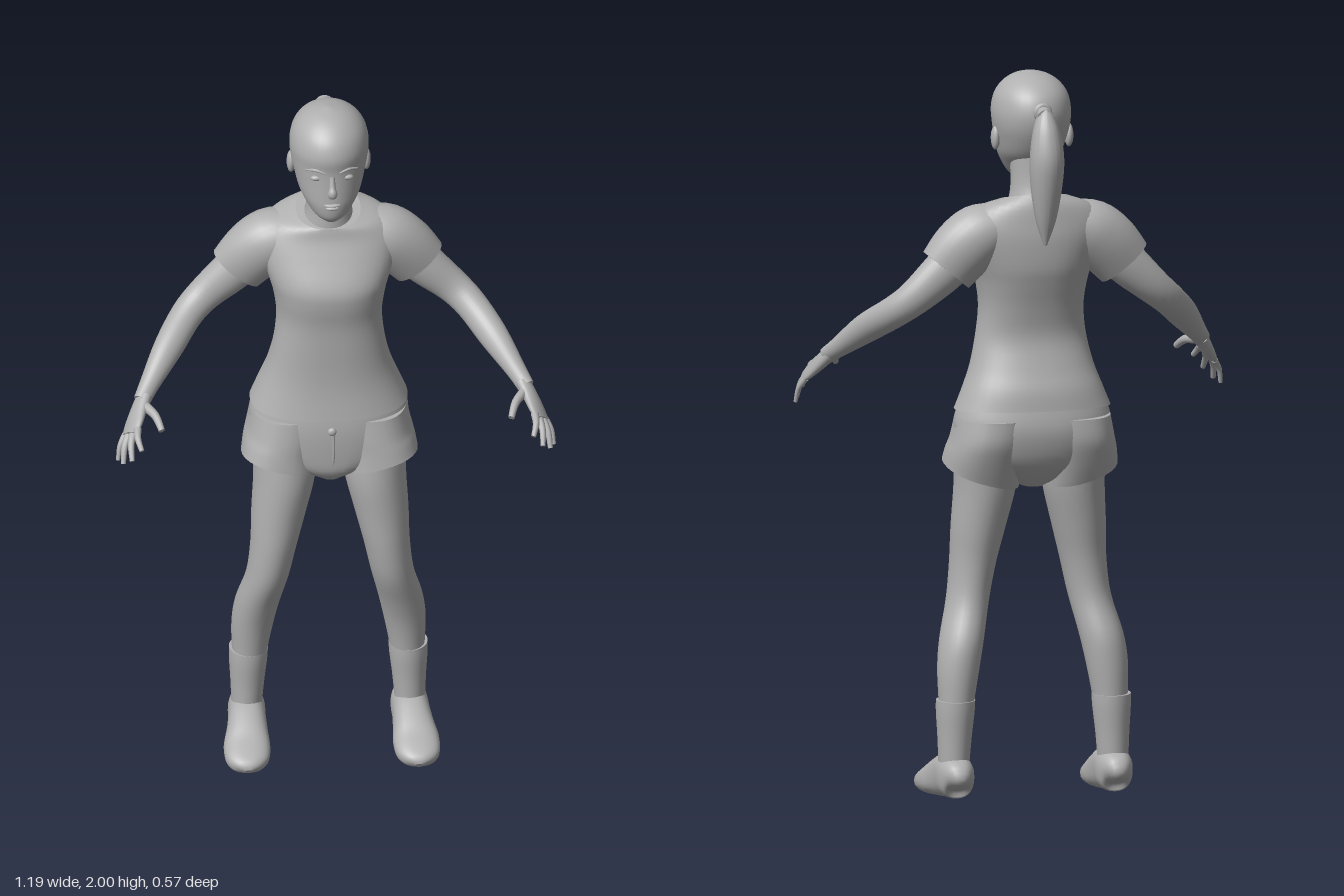
import * as THREE from 'three';

const grey = new THREE.MeshStandardMaterial({ color: 0xb0b0b0 });
grey.name = 'plainGrey';

// Catmull-Rom interpolation of every column of a table of sections
function smooth(rows, steps) {
  const out = [], last = rows.length - 1;
  for (let i = 0; i < last; i++) {
    const a = rows[Math.max(i - 1, 0)], b = rows[i], c = rows[i + 1], d = rows[Math.min(i + 2, last)];
    for (let k = 0; k < steps; k++) {
      const t = k / steps;
      out.push(b.map((v, n) => v + 0.5 * t * (c[n] - a[n]
        + t * (2 * a[n] - 5 * v + 4 * c[n] - d[n] + t * (3 * (v - c[n]) + d[n] - a[n])))));
    }
  }
  out.push(rows[last]);
  return out;
}

// Skin over rings { c, u, v }, with flat end caps; power squares the ring, ridge flutes it
function loft(rings, { sides = 28, power = 2, ridge = 0 } = {}) {
  const pos = [], index = [];
  const bend = t => Math.sign(t) * Math.abs(t) ** (2 / power);
  const addRing = r => {
    for (let j = 0; j < sides; j++) {
      const a = j / sides * Math.PI * 2, m = 1 + ridge * (j % 2 ? 1 : -1);
      const p = r.c.clone().addScaledVector(r.u, bend(Math.cos(a)) * m).addScaledVector(r.v, bend(Math.sin(a)) * m);
      pos.push(p.x, p.y, p.z);
    }
  };
  rings.forEach(addRing);
  for (let i = 0; i < rings.length - 1; i++) {
    for (let j = 0; j < sides; j++) {
      const a = i * sides + j, b = i * sides + (j + 1) % sides;
      index.push(a, b, a + sides, b, b + sides, a + sides);
    }
  }
  [rings[0], rings[rings.length - 1]].forEach((r, end) => {
    const base = pos.length / 3;
    addRing(r);
    pos.push(r.c.x, r.c.y, r.c.z);
    for (let j = 0; j < sides; j++) {
      const a = base + j, b = base + (j + 1) % sides;
      index.push(base + sides, end ? a : b, end ? b : a);
    }
  });
  const g = new THREE.BufferGeometry();
  g.setAttribute('position', new THREE.Float32BufferAttribute(pos, 3));
  g.setIndex(index);
  g.computeVertexNormals();
  return g;
}

// Upright form, bottom to top: [y, centre x, half width, front z, back z, side tilt, back tilt]
const upright = (rows, opts) => loft(
  smooth(rows.map(([y, x, w, f, b, ts = 0, tb = 0]) => [y, x, w, f, b, ts, tb]), 4).map(([y, x, w, f, b, ts, tb]) => ({
    c: new THREE.Vector3(x, y, (f + b) / 2),
    u: new THREE.Vector3(w, ts, 0),
    v: new THREE.Vector3(0, tb, -(f - b) / 2),
  })), opts);

// Limb along a path: [x, y, z, half width along "across", half thickness]
function limb(rows, across, opts) {
  const r = smooth(rows, 4), pts = r.map(q => new THREE.Vector3(q[0], q[1], q[2]));
  return loft(r.map((q, i) => {
    const t = pts[Math.min(i + 1, r.length - 1)].clone().sub(pts[Math.max(i - 1, 0)]).normalize();
    const u = new THREE.Vector3(...across);
    u.addScaledVector(t, -u.dot(t)).normalize();
    const v = t.clone().cross(u);
    return { c: pts[i], u: u.multiplyScalar(q[3]), v: v.multiplyScalar(q[4]) };
  }), opts);
}

const blob = (x, y, z, a, b, c) => new THREE.SphereGeometry(1, 16, 12).scale(a, b, c).translate(x, y, z);

// Copy to the other side of x = 0, keeping the faces outward
function mirror(geometry) {
  const g = geometry.clone().scale(-1, 1, 1), ix = g.index;
  for (let i = 0; i < ix.count; i += 3) {
    const a = ix.getX(i);
    ix.setX(i, ix.getX(i + 2));
    ix.setX(i + 2, a);
  }
  g.computeVertexNormals();
  return g;
}

export function createModel() {
  const model = new THREE.Group();
  model.name = 'girlFigure';
  const add = (name, geometry) => {
    const m = new THREE.Mesh(geometry, grey);
    m.name = name;
    model.add(m);
  };
  const pair = (name, geometry) => {
    add('left' + name, geometry);
    add('right' + name, mirror(geometry));
  };

  // Head and neck
  add('head', upright([
    [1.695, 0, 0.025, 0.055, -0.02], [1.715, 0, 0.05, 0.073, -0.06], [1.75, 0, 0.073, 0.08, -0.1],
    [1.78, 0, 0.087, 0.08, -0.135], [1.82, 0, 0.097, 0.079, -0.16], [1.86, 0, 0.105, 0.079, -0.176],
    [1.9, 0, 0.107, 0.083, -0.18], [1.94, 0, 0.098, 0.07, -0.168], [1.97, 0, 0.077, 0.043, -0.14],
    [1.99, 0, 0.046, 0.008, -0.1], [2, 0, 0.006, -0.036, -0.05]], { sides: 36 }));
  add('neck', upright([
    [1.58, 0, 0.09, 0, -0.17], [1.64, 0, 0.07, 0, -0.155], [1.7, 0, 0.059, 0, -0.135],
    [1.8, 0, 0.062, 0.01, -0.13]]));

  // Face
  add('nose', limb([[0, 1.85, 0.074, 0.007, 0.008], [0, 1.82, 0.082, 0.009, 0.011],
    [0, 1.803, 0.089, 0.013, 0.013], [0, 1.79, 0.08, 0.01, 0.008]], [1, 0, 0], { sides: 14 }));
  add('upperLip', blob(0, 1.762, 0.078, 0.023, 0.005, 0.009));
  add('lowerLip', blob(0, 1.752, 0.077, 0.019, 0.006, 0.009));
  pair('Eye', blob(0.042, 1.842, 0.064, 0.016, 0.008, 0.009));
  pair('Brow', limb([[0.02, 1.862, 0.075, 0.003, 0.004], [0.045, 1.869, 0.068, 0.004, 0.005],
    [0.07, 1.86, 0.05, 0.002, 0.003]], [0, 1, 0], { sides: 10 }));
  pair('Ear', blob(0.102, 1.822, -0.062, 0.012, 0.033, 0.02));

  // Ponytail
  add('hairTie', new THREE.TorusGeometry(0.018, 0.008, 8, 20).translate(0, 1.91, -0.187));
  add('ponytailRoot', limb([[0, 1.9, -0.15, 0.03, 0.03], [0, 1.91, -0.187, 0.018, 0.018],
    [0, 1.905, -0.225, 0.024, 0.02]], [1, 0, 0]));
  add('ponytail', upright([
    [1.55, 0, 0.004, -0.21, -0.222], [1.62, 0, 0.026, -0.196, -0.248], [1.71, 0, 0.04, -0.184, -0.272],
    [1.79, 0, 0.044, -0.186, -0.283], [1.86, 0, 0.036, -0.19, -0.268], [1.905, 0, 0.022, -0.195, -0.245],
    [1.925, 0, 0.006, -0.205, -0.228]], { sides: 36, ridge: 0.06 }));

  // Shirt
  add('shirtBody', upright([
    [1.08, 0, 0.214, 0.07, -0.194, 0, 0.008], [1.14, 0, 0.19, 0.061, -0.186], [1.2, 0, 0.168, 0.058, -0.165],
    [1.28, 0, 0.15, 0.06, -0.145], [1.36, 0, 0.143, 0.064, -0.157], [1.43, 0, 0.152, 0.075, -0.176],
    [1.48, 0, 0.166, 0.072, -0.188], [1.55, 0, 0.188, 0.038, -0.192], [1.6, 0, 0.188, 0.014, -0.188],
    [1.64, 0, 0.15, 0.006, -0.18, 0, 0.01], [1.66, 0, 0.088, 0.004, -0.165, 0, 0.02]],
  { sides: 40, power: 2.3 }));
  pair('Sleeve', limb([
    [0.09, 1.59, -0.092, 0.06, 0.075], [0.15, 1.566, -0.092, 0.083, 0.083], [0.2, 1.525, -0.094, 0.087, 0.075],
    [0.247, 1.471, -0.095, 0.08, 0.058]], [0.74, 0.68, 0]));

  // Shorts
  add('shortsSeat', upright([
    [0.865, 0, 0.035, 0.03, -0.1], [0.9, 0, 0.11, 0.06, -0.14], [0.95, 0, 0.19, 0.068, -0.178],
    [1.03, 0, 0.216, 0.07, -0.197], [1.1, 0, 0.2, 0.062, -0.186]], { sides: 36, power: 2.3 }));
  pair('ShortsLeg', upright([
    [0.9, 0.137, 0.102, 0.079, -0.148, 0.028, -0.02], [0.95, 0.132, 0.1, 0.074, -0.174, 0.015, -0.01],
    [1.0, 0.122, 0.1, 0.069, -0.194], [1.06, 0.11, 0.1, 0.06, -0.194]], { power: 2.3 }));
  add('waistButton', blob(0, 1.04, 0.07, 0.012, 0.012, 0.008));
  add('flySeam', limb([[0.004, 1.03, 0.069, 0.004, 0.004], [0.004, 0.96, 0.068, 0.004, 0.004],
    [0, 0.9, 0.055, 0.004, 0.004]], [1, 0, 0], { sides: 8 }));

  // Legs, socks and shoes
  pair('Leg', upright([
    [0.1, 0.218, 0.039, -0.03, -0.123], [0.2, 0.216, 0.042, -0.026, -0.127], [0.28, 0.213, 0.048, -0.02, -0.129],
    [0.37, 0.206, 0.057, -0.004, -0.131], [0.45, 0.193, 0.06, 0.02, -0.124], [0.55, 0.169, 0.058, 0.055, -0.092],
    [0.65, 0.153, 0.063, 0.068, -0.09], [0.75, 0.139, 0.074, 0.071, -0.106], [0.86, 0.123, 0.084, 0.073, -0.126],
    [0.96, 0.12, 0.088, 0.065, -0.14]]));
  pair('Sock', upright([
    [0.1, 0.221, 0.041, -0.028, -0.126], [0.18, 0.219, 0.046, -0.025, -0.13],
    [0.25, 0.217, 0.052, -0.019, -0.135], [0.285, 0.216, 0.053, -0.018, -0.136]]));
  pair('Shoe', limb([
    [0.22, 0.055, -0.146, 0.012, 0.02], [0.22, 0.068, -0.134, 0.038, 0.049], [0.22, 0.075, -0.1, 0.05, 0.058],
    [0.222, 0.074, -0.05, 0.051, 0.061], [0.225, 0.06, 0, 0.056, 0.054], [0.229, 0.043, 0.05, 0.063, 0.042],
    [0.231, 0.031, 0.1, 0.058, 0.031], [0.231, 0.024, 0.128, 0.038, 0.022], [0.231, 0.018, 0.14, 0.01, 0.008]],
  [1, 0, 0], { power: 2.4 }));

  // Arms and hands
  pair('Arm', limb([
    [0.21, 1.51, -0.095, 0.062, 0.05], [0.265, 1.457, -0.095, 0.058, 0.048], [0.335, 1.395, -0.088, 0.048, 0.042],
    [0.385, 1.352, -0.055, 0.044, 0.041], [0.44, 1.298, 0.022, 0.041, 0.036], [0.495, 1.235, 0.1, 0.028, 0.026],
    [0.52, 1.205, 0.14, 0.024, 0.02]], [0.7, 0.7, 0]));
  const across = [-0.52, 0.6, 0.6];
  pair('Palm', limb([
    [0.512, 1.214, 0.128, 0.024, 0.019], [0.53, 1.187, 0.16, 0.031, 0.018], [0.546, 1.162, 0.193, 0.038, 0.015],
    [0.557, 1.145, 0.215, 0.036, 0.011]], across));
  const finger = (name, path, r) => pair(name, limb(
    path.map((p, i) => [...p, r * (1.05 - 0.2 * i), r * (1 - 0.2 * i)]), across, { sides: 12 }));
  const tips = { IndexFinger: [0.53, 1.132, 0.283], MiddleFinger: [0.556, 1.098, 0.278],
    RingFinger: [0.578, 1.074, 0.25], LittleFinger: [0.59, 1.066, 0.216] };
  Object.entries(tips).forEach(([name, tip], i) => {
    const base = [0.553, 1.15, 0.208].map((v, n) => v + across[n] * (0.029 - 0.0193 * i));
    const middle = base.map((v, n) => (v + tip[n]) / 2 + [0.005, 0.005, 0.002][n]);
    finger(name, [base, middle, tip], i === 3 ? 0.009 : 0.011);
  });
  finger('Thumb', [[0.515, 1.2, 0.158], [0.488, 1.192, 0.2], [0.473, 1.168, 0.24]], 0.014);

  return model;
}
